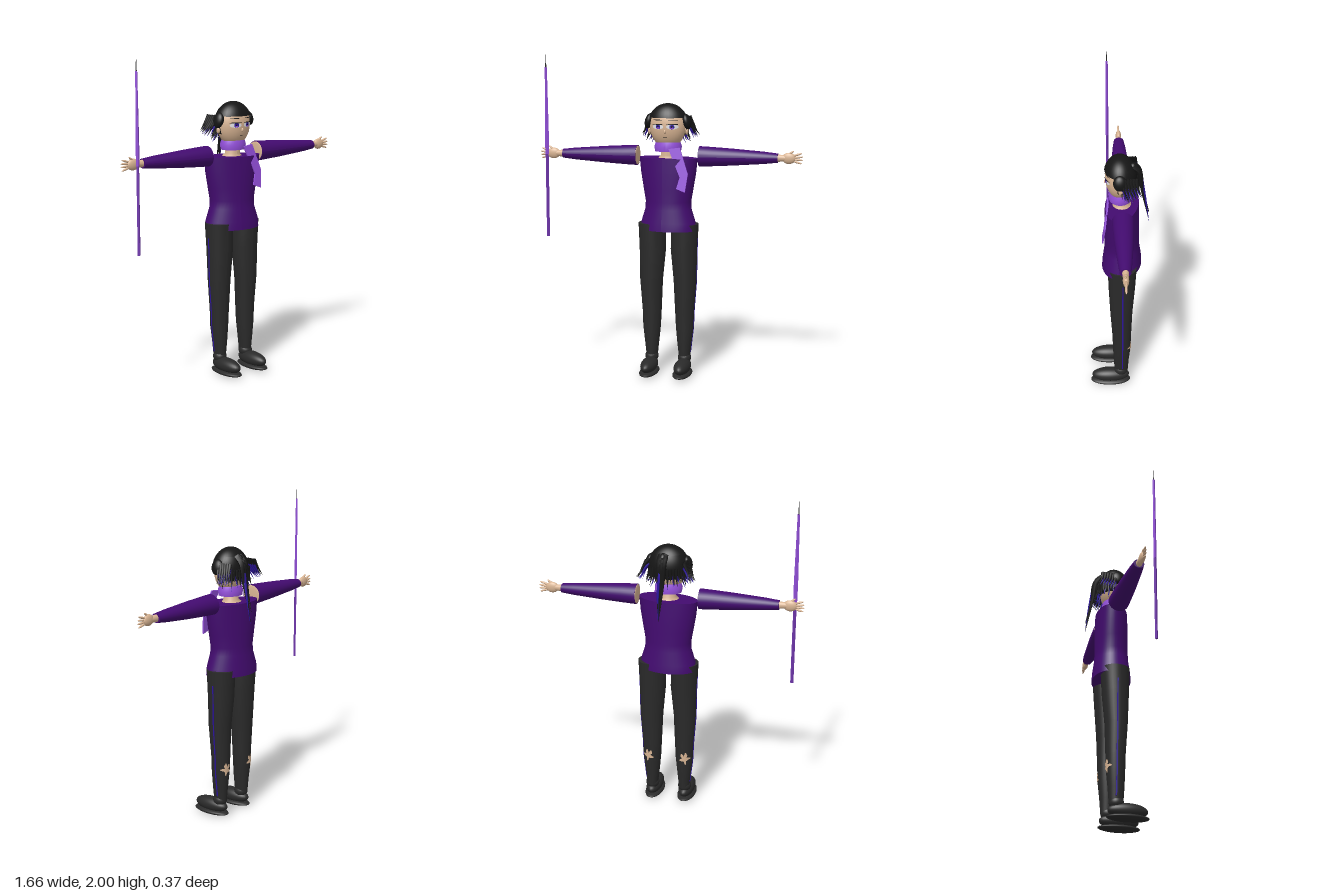
import * as THREE from 'three';

const mat = (name, color, side = THREE.FrontSide) =>
  Object.assign(new THREE.MeshStandardMaterial({ color, side }), { name });
const M = {
  top: mat('violet cloth', 0x430b70),
  pants: mat('charcoal cloth', 0x2a2a2a),
  hair: mat('black hair', 0x161616, THREE.DoubleSide),
  skin: mat('skin', 0xd9b594),
  scarf: mat('light purple', 0x9450dc),
  blade: mat('medium purple', 0x7238b0),
  blue: mat('indigo', 0x2c149c),
  white: mat('eye white', 0xf0f0f4),
};

function add(parent, name, geometry, material, pos = [0, 0, 0]) {
  const mesh = new THREE.Mesh(geometry, material);
  mesh.name = name;
  mesh.position.set(...pos);
  parent.add(mesh);
  return mesh;
}

// Closed tube through elliptical sections [y, cx, cz, rx, rz], listed top down
function loft(sections, sides = 32) {
  const rows = sections.length - 1;
  const g = new THREE.CylinderGeometry(1, 1, 1, sides, rows);
  const p = g.attributes.position;
  for (let i = 0; i < p.count; i++) {
    const [y, cx, cz, rx, rz] = sections[Math.round((0.5 - p.getY(i)) * rows)];
    p.setXYZ(i, cx + p.getX(i) * rx, y, cz + p.getZ(i) * rz);
  }
  g.computeVertexNormals();
  return g;
}

const ball = (rx, ry, rz, ...arc) => new THREE.SphereGeometry(1, 32, 20, ...arc).scale(rx, ry, rz);

// Tapering lock of hair along a curve
function strand(points, r, steps = 10) {
  const curve = new THREE.CatmullRomCurve3(points.map((q) => new THREE.Vector3(...q)));
  const sides = 6;
  const g = new THREE.TubeGeometry(curve, steps, r, sides);
  const p = g.attributes.position, v = new THREE.Vector3();
  for (let i = 0; i < p.count; i++) {
    const t = Math.floor(i / (sides + 1)) / steps, c = curve.getPointAt(t);
    v.fromBufferAttribute(p, i).sub(c).multiplyScalar(1.02 - t).add(c);
    p.setXYZ(i, v.x, v.y, v.z);
  }
  g.computeVertexNormals();
  return g;
}

// Face ellipsoid and thin plates that follow it
const FACE = { y: 1.565, z: -0.005, rx: 0.112, ry: 0.135, rz: 0.085 };
function facePlate(g, x, y, lift) {
  const p = g.attributes.position;
  for (let i = 0; i < p.count; i++) {
    const px = p.getX(i) + x, py = p.getY(i) + y;
    const d = 1 - (px / FACE.rx) ** 2 - ((py - FACE.y) / FACE.ry) ** 2;
    p.setXYZ(i, px, py, FACE.z + FACE.rz * Math.sqrt(Math.max(d, 0)) + lift);
  }
  g.computeVertexNormals();
  return g;
}
const oval = (rx, ry) => new THREE.RingGeometry(0, 1, 24, 3).scale(rx, ry, 1);

const LEG = [
  [0.96, 0.105, -0.02, 0.085, 0.09], [0.8, 0.1, -0.018, 0.083, 0.083],
  [0.6, 0.108, -0.015, 0.072, 0.07], [0.4, 0.105, -0.018, 0.06, 0.06],
  [0.3, 0.106, -0.018, 0.056, 0.057], [0.2, 0.105, -0.015, 0.045, 0.05],
  [0.1, 0.105, -0.015, 0.034, 0.043],
];
function legAt(y) {
  let i = 1;
  while (i < LEG.length - 1 && LEG[i][0] > y) i++;
  const t = (LEG[i - 1][0] - y) / (LEG[i - 1][0] - LEG[i][0]);
  return LEG[i].map((v, k) => THREE.MathUtils.lerp(LEG[i - 1][k], v, t));
}

function leg() {
  const g = new THREE.Group();
  add(g, 'trouserLeg', loft(LEG), M.pants);
  add(g, 'ankle', ball(0.042, 0.04, 0.045), M.pants, [0.106, 0.105, -0.012]);
  add(g, 'shoe', ball(0.05, 0.046, 0.122), M.pants, [0.107, 0.062, 0.055]);
  add(g, 'sole', ball(0.058, 0.02, 0.13), M.pants, [0.107, 0.02, 0.055]);
  // Side stripe
  const s = new THREE.BoxGeometry(0.004, 0.73, 0.008, 1, 20, 1).translate(0, 0.505, -0.022);
  const sp = s.attributes.position;
  for (let i = 0; i < sp.count; i++) {
    const [, cx, , rx] = legAt(sp.getY(i));
    sp.setX(i, sp.getX(i) + cx + rx);
  }
  add(g, 'sideStripe', s, M.blue);
  // Ragged tear on the calf
  const tear = new THREE.RingGeometry(0, 1, 40, 4).rotateY(Math.PI);
  const p = tear.attributes.position;
  for (let i = 0; i < p.count; i++) {
    const a = Math.atan2(p.getY(i), p.getX(i));
    const k = 0.75 + 0.25 * Math.cos(5 * a + 0.6) + 0.12 * Math.cos(9 * a);
    const y = 0.325 + p.getY(i) * 0.042 * k, [, cx, cz, rx, rz] = legAt(y);
    const dx = p.getX(i) * 0.034 * k + 0.012;
    p.setXYZ(i, cx + dx, y, cz - rz * Math.sqrt(Math.max(0, 1 - (dx / rx) ** 2)) - 0.003);
  }
  tear.computeVertexNormals();
  add(g, 'calfTear', tear, M.skin);
  return g;
}

function arm() {
  const g = new THREE.Group();
  const lay = (sections) => loft(sections).rotateZ(-Math.PI / 2).translate(0, 1.381, -0.02);
  add(g, 'sleeve', lay([
    [0.68, 0, 0, 0.028, 0.032], [0.6, 0, 0, 0.037, 0.041], [0.4, 0, 0, 0.052, 0.056],
    [0.28, 0, 0, 0.059, 0.062], [0.196, 0, 0, 0.063, 0.065]]), M.top);
  add(g, 'shoulder', ball(0.006, 0.059, 0.061), M.skin, [0.196, 1.381, -0.02]);
  add(g, 'wrist', lay([[0.725, 0, 0, 0.019, 0.016], [0.67, 0, 0, 0.023, 0.02]]), M.skin);
  add(g, 'palm', ball(0.042, 0.034, 0.018), M.skin, [0.745, 1.381, -0.02]);
  // Four fingers and an upper thumb
  for (let i = 0; i < 5; i++) {
    const thumb = i === 4, a = thumb ? 0.6 : (i - 1.5) * 0.2;
    const f = add(g, thumb ? 'thumb' : 'finger', ball(thumb ? 0.026 : 0.031, 0.0065, 0.007), M.skin,
      thumb ? [0.755, 1.412, -0.018] : [0.802 - Math.abs(i - 1.5) * 0.005, 1.381 + (i - 1.5) * 0.015, -0.02]);
    f.rotation.z = a;
  }
  return g;
}

function head() {
  const g = new THREE.Group();
  g.name = 'head';
  add(g, 'face', ball(FACE.rx, FACE.ry, FACE.rz), M.skin, [0, FACE.y, FACE.z]);
  add(g, 'nose', ball(0.007, 0.013, 0.009), M.skin, [0, 1.535, 0.078]);
  add(g, 'mouth', facePlate(oval(0.012, 0.0015), 0, 1.502, 0.002), M.hair);
  for (const s of [-1, 1]) {
    add(g, 'eyeWhite', facePlate(oval(0.036, 0.015), s * 0.045, 1.565, 0.002), M.white);
    add(g, 'iris', facePlate(oval(0.015, 0.014), s * 0.043, 1.565, 0.0035), M.blue);
    add(g, 'irisGlow', facePlate(oval(0.009, 0.006), s * 0.043, 1.559, 0.0045), M.scarf);
    add(g, 'pupil', facePlate(oval(0.005, 0.006), s * 0.043, 1.566, 0.0055), M.hair);
    add(g, 'upperLash', facePlate(oval(0.038, 0.003), s * 0.046, 1.58, 0.005), M.hair);
    add(g, 'brow', facePlate(oval(0.03, 0.0025), s * 0.048, 1.606, 0.003), M.hair);
    add(g, 'ear', ball(0.012, 0.022, 0.015), M.skin, [s * 0.116, 1.535, -0.01]);
  }

  // Hair crown and back shell
  add(g, 'hairCrown', ball(0.125, 0.13, 0.098, 0, Math.PI * 2, 0, 1.23), M.hair, [0, 1.575, -0.008]);
  add(g, 'hairBack', ball(0.122, 0.13, 0.1, Math.PI - 0.2, Math.PI + 0.4, 0.9, 1.2), M.hair, [0, 1.575, -0.01]);

  // Nape locks with indigo underlayer
  for (let i = 0; i < 21; i++) {
    const a = Math.PI * (1.02 + 0.96 * i / 20), c = Math.cos(a), s = Math.sin(a);
    const at = (r, y) => [c * r * 1.15, y, s * r - 0.01];
    const drop = 0.015 * (i % 3);
    add(g, 'napeLock', strand([at(0.1, 1.58), at(0.108, 1.52), at(0.122, 1.47 + drop)], 0.013), M.hair);
    if (i % 2) add(g, 'indigoLock', strand([at(0.094, 1.56), at(0.098, 1.5), at(0.118, 1.455 + drop)], 0.01), M.blue);
  }
  // Side tufts sweeping outward
  for (const s of [-1, 1]) {
    add(g, 'sideTuft', ball(0.026, 0.048, 0.04), M.hair, [s * 0.118, 1.595, -0.005]).rotation.z = s * 0.25;
    for (let i = 0; i < 6; i++) {
      const z = -0.015 - i * 0.017, reach = 0.185 - Math.abs(i - 2) * 0.009;
      add(g, 'tuftLock', strand([[s * 0.115, 1.62, z], [s * 0.145, 1.56, z - 0.015],
        [s * reach, 1.5 + i * 0.005, z - 0.035]], 0.013), M.hair);
      add(g, 'tuftUnderlayer', strand([[s * 0.115, 1.59, z], [s * 0.138, 1.545, z - 0.012],
        [s * (reach - 0.012), 1.488 + i * 0.005, z - 0.03]], 0.009), M.blue);
    }
  }
  // Ponytail
  add(g, 'ponytailKnot', ball(0.028, 0.045, 0.036), M.hair, [0.015, 1.625, -0.085]);
  for (let i = -1; i <= 1; i++) {
    add(g, 'ponytail', strand([[0.015 + i * 0.012, 1.655, -0.08], [0.017 + i * 0.014, 1.62, -0.118],
      [0.018 + i * 0.012, 1.48, -0.142], [0.02 + i * 0.008, 1.26 + Math.abs(i) * 0.06, -0.183]], 0.021, 18), M.hair);
  }
  add(g, 'ponytailStreak', strand([[0.025, 1.56, -0.135], [0.03, 1.42, -0.16], [0.022, 1.25, -0.184]], 0.012), M.blue);
  return g;
}

export function createModel() {
  const model = new THREE.Group();
  model.name = 'figure';

  // Slightly twisted top
  add(model, 'top', loft([
    [1.37, 0, 0, 0.19, 0.1], [1.28, 0, 0, 0.18, 0.103], [1.18, 0, 0, 0.162, 0.104], [1.1, 0, 0, 0.147, 0.104],
    [1.05, 0, 0, 0.15, 0.107], [0.97, 0, 0, 0.176, 0.118], [0.92, 0, 0, 0.18, 0.121],
  ], 40), M.top, [0, 0, -0.02]).rotation.y = -0.17;
  add(model, 'neck', loft([[1.46, 0, -0.01, 0.045, 0.045], [1.385, 0, -0.015, 0.046, 0.046],
    [1.365, 0, -0.02, 0.07, 0.06]]), M.skin);

  for (const [side, s] of [['left', 1], ['right', -1]]) {
    for (const [part, build] of [['Leg', leg], ['Arm', arm]]) {
      const g = build();
      g.name = side + part;
      g.scale.x = s;
      model.add(g);
    }
  }
  model.add(head());

  // Scarf wrap and hanging end
  add(model, 'scarfWrap', loft([[1.47, 0, -0.01, 0.076, 0.064], [1.44, 0, -0.01, 0.086, 0.072],
    [1.41, 0, -0.01, 0.08, 0.068]]), M.scarf);
  const outline = [[0.02, 1.43], [0.075, 1.19], [0.13, 1.17], [0.145, 1.28], [0.09, 1.44]];
  outline.splice(1, 0, [0.095, 1.26]);
  const end = new THREE.ExtrudeGeometry(new THREE.Shape(outline.map((q) => new THREE.Vector2(...q))),
    { depth: 0.009, bevelEnabled: false });
  const p = end.attributes.position;
  for (let i = 0; i < p.count; i++) p.setZ(i, p.getZ(i) + 0.06 + (1.44 - p.getY(i)) * 0.13);
  end.computeVertexNormals();
  add(model, 'scarfEnd', end, M.scarf);

  // Long diamond-section staff blade
  const staff = new THREE.Group();
  staff.name = 'staff';
  staff.position.set(-0.764, 0, 0.053);
  model.add(staff);
  const diamond = (sections) => {
    const g = loft(sections, 4).toNonIndexed();
    g.computeVertexNormals();
    return g;
  };
  add(staff, 'blade', diamond([[1.92, 0, 0, 0.007, 0.007], [1.5, 0, 0, 0.013, 0.009], [1.38, 0, 0, 0.012, 0.009]]), M.scarf);
  add(staff, 'shaft', diamond([[1.38, 0, 0, 0.01, 0.009], [0.86, 0, 0, 0.01, 0.008]]), M.blade);
  add(staff, 'tip', diamond([[2, 0, 0, 0.001, 0.001], [1.92, 0, 0, 0.004, 0.003]]), M.pants);
  return model;
}
